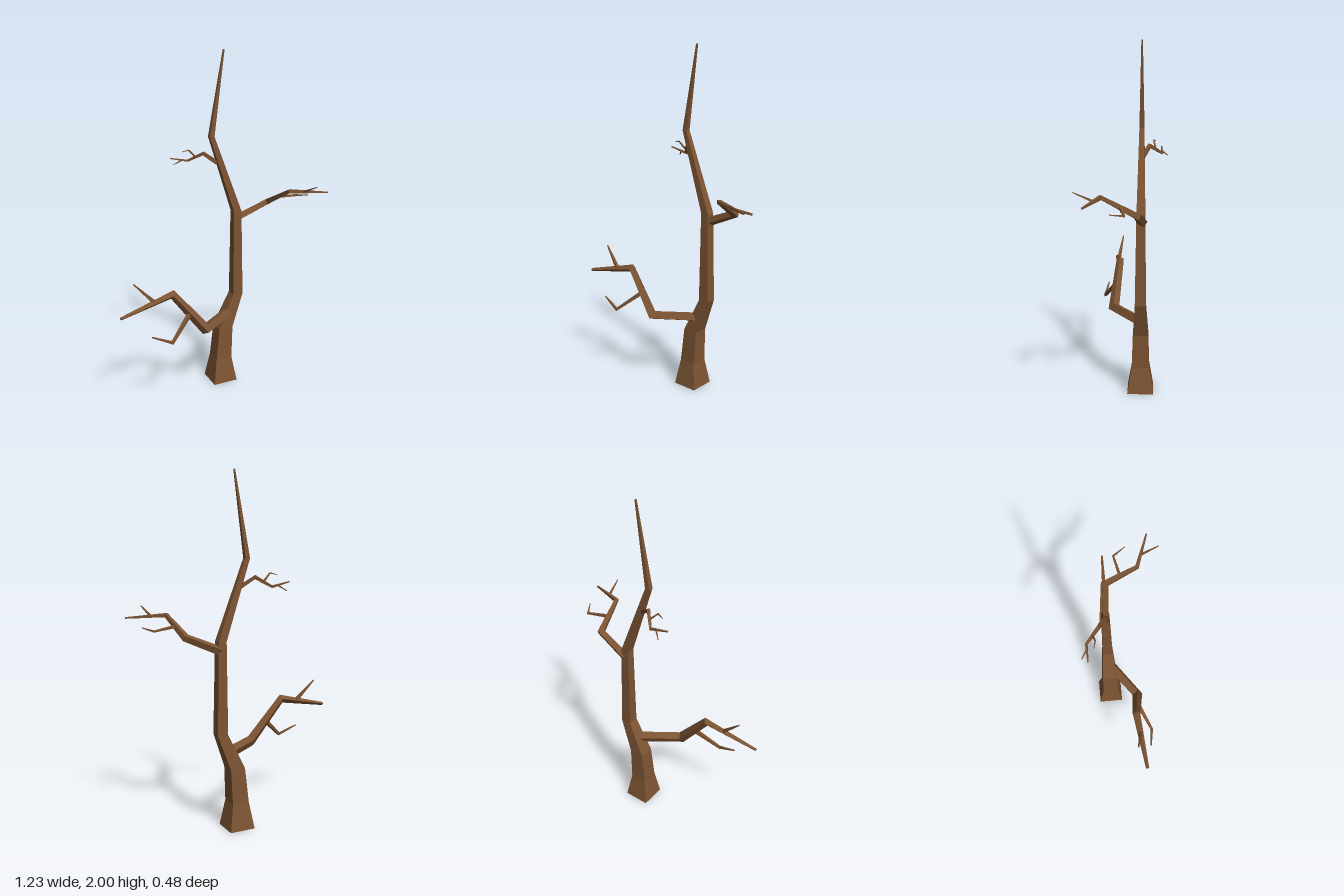
import * as THREE from 'three';

const bark = new THREE.MeshStandardMaterial({ color: 0x7d5433, flatShading: true });
const V = (p) => new THREE.Vector3(p[0], p[1], p[2]);

// Tapered four-sided limb along points [x, y, z, halfWidth], mitred at each bend.
// level: keep every ring horizontal. roll: turn of the square section in degrees.
function limb(name, points, { roll = 0, level = false } = {}) {
  const centres = points.map(V);
  const dirs = centres.slice(1).map((c, i) => c.clone().sub(centres[i]).normalize());
  const start = level ? new THREE.Vector3(0, 1, 0) : dirs[0];
  const ref = level ? new THREE.Vector3(0, 0, 1) : new THREE.Vector3(0, 1, 0);
  const side = start.clone().cross(ref).normalize();
  const up = side.clone().cross(start).normalize();

  // first ring
  let offsets = [0, 1, 2, 3].map((k) => {
    const a = THREE.MathUtils.degToRad(45 + 90 * k + roll);
    const r = points[0][3] * Math.SQRT2;
    return side.clone().multiplyScalar(r * Math.cos(a)).addScaledVector(up, r * Math.sin(a));
  });
  const rings = [offsets.map((o) => o.clone().add(centres[0]))];

  // slide each ring along its segment onto the next mitre plane, then taper it
  for (let i = 1; i < points.length; i++) {
    const d = dirs[i - 1];
    const normal = level ? start : d.clone().add(dirs[i] || d).normalize();
    const taper = points[i][3] / points[i - 1][3];
    offsets = offsets.map((o) =>
      o.clone().addScaledVector(d, -o.dot(normal) / d.dot(normal)).multiplyScalar(taper));
    rings.push(offsets.map((o) => o.clone().add(centres[i])));
  }

  const index = [0, 1, 2, 0, 2, 3];
  const last = (rings.length - 1) * 4;
  for (let i = 0; i < last; i += 4) {
    for (let k = 0; k < 4; k++) {
      const a = i + k, b = i + (k + 1) % 4;
      index.push(a, a + 4, b + 4, a, b + 4, b);
    }
  }
  index.push(last, last + 2, last + 1, last, last + 3, last + 2);

  const indexed = new THREE.BufferGeometry().setFromPoints(rings.flat());
  indexed.setIndex(index);
  const geometry = indexed.toNonIndexed();
  geometry.computeVertexNormals();
  const mesh = new THREE.Mesh(geometry, bark);
  mesh.name = name;
  return mesh;
}

function group(name, ...parts) {
  const g = new THREE.Group();
  g.name = name;
  g.add(...parts);
  return g;
}

export function createModel() {
  const z = -0.095;

  // Crooked trunk with a flared foot
  const trunk = limb('trunk', [
    [0.065, 0, z, 0.075], [0.065, 0.155, z, 0.05], [0.08, 0.355, z, 0.044],
    [0.166, 0.56, z, 0.031], [0.163, 1.08, z, 0.024],
    [0.005, 1.53, z, 0.014], [0.08, 2, z, 0.004],
  ], { level: true });

  // Large low branch reaching to the model's right
  const lowBranch = group('lowBranch',
    limb('lowBough', [
      [0.1, 0.443, -0.08, 0.023], [-0.11, 0.443, 0.07, 0.022],
      [-0.3, 0.685, 0.042, 0.016], [-0.618, 0.613, 0.078, 0.007],
    ], { roll: -25 }),
    limb('lowUpperTwig', [[-0.41, 0.66, 0.055, 0.01], [-0.522, 0.78, 0.031, 0.003]]),
    limb('lowHangingTwig', [
      [-0.2, 0.56, 0.06, 0.011], [-0.342, 0.437, 0.138, 0.007], [-0.455, 0.486, 0.121, 0.003],
    ]),
  );

  // Middle branch bending forward on the model's left
  const middleBranch = group('middleBranch',
    limb('middleBough', [
      [0.17, 1.03, -0.105, 0.019], [0.365, 1.112, -0.083, 0.016],
      [0.402, 1.218, 0.105, 0.01], [0.613, 1.205, 0.18, 0.004],
    ], { roll: 25 }),
    limb('middleBentTwig', [
      [0.386, 1.165, 0.006, 0.008], [0.519, 1.148, -0.02, 0.005], [0.563, 1.163, 0.05, 0.002],
    ]),
    limb('middleForkTwig', [[0.48, 1.212, 0.133, 0.006], [0.5, 1.262, 0.237, 0.002]]),
  );

  // Small high branch at the back
  const highBranch = group('highBranch',
    limb('highBough', [
      [0.045, 1.375, -0.1, 0.011], [-0.025, 1.428, -0.138, 0.009],
      [-0.092, 1.378, -0.208, 0.006], [-0.2, 1.402, -0.206, 0.003],
    ]),
    limb('highBentTwig', [
      [-0.058, 1.403, -0.172, 0.005], [-0.105, 1.45, -0.16, 0.003], [-0.142, 1.44, -0.171, 0.0015],
    ]),
    limb('highForkTwig', [[-0.125, 1.386, -0.207, 0.004], [-0.165, 1.356, -0.24, 0.002]]),
  );

  return group('bareTree', trunk, lowBranch, middleBranch, highBranch);
}
